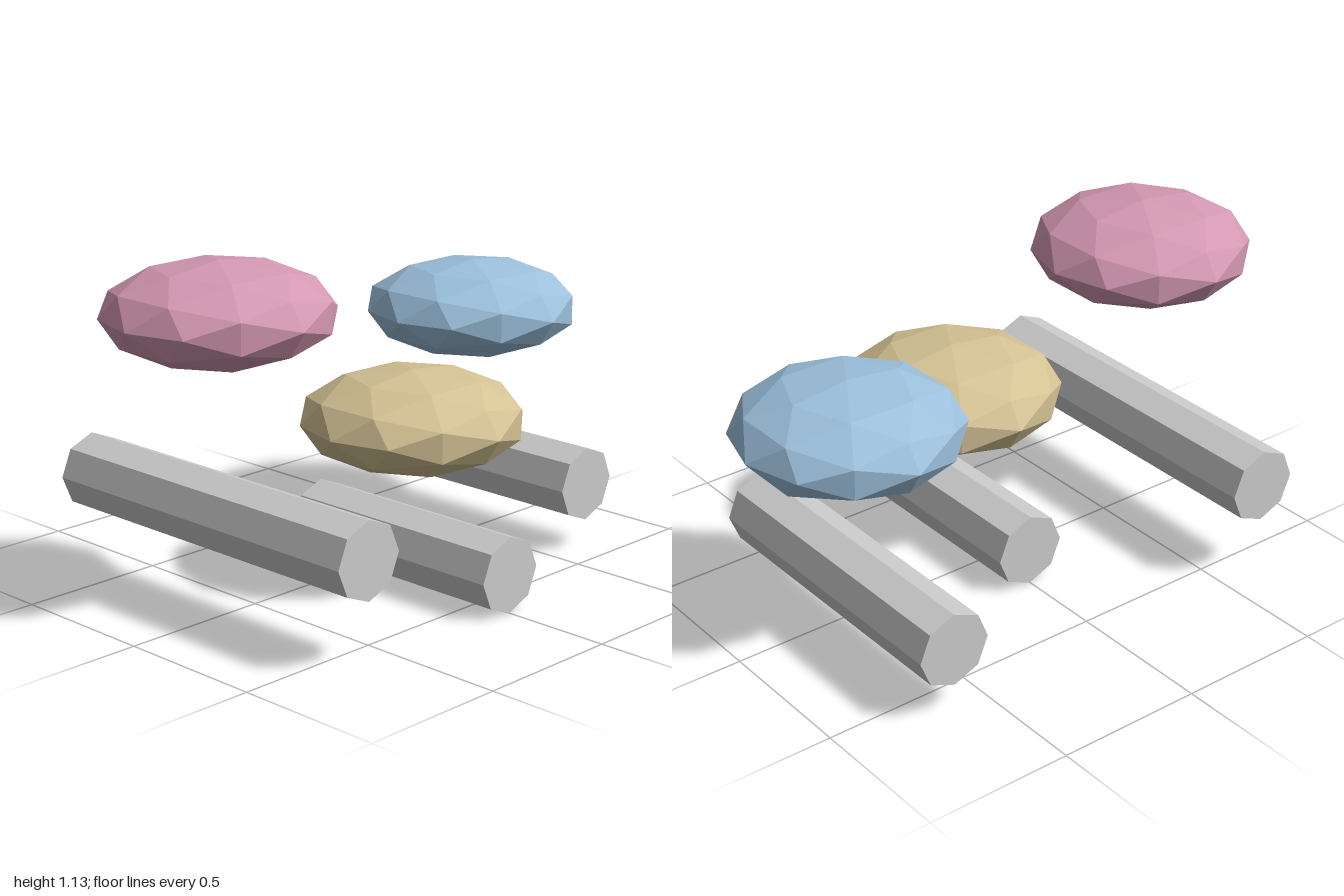
import * as THREE from 'three';

const S = 2 / 9.5; // one layout unit

// Each set is a faceted, flattened pad floating above an eight-sided bar
const SETS = [
  { side: 'right', x: -3, length: 6, z: 0, y: 1.6, color: 0xd498b2 },
  { side: 'middle', x: 0, length: 4, z: 1, y: 0.6, color: 0xd4c294 },
  { side: 'left', x: 3, length: 5, z: -0.5, y: 1.1, color: 0x9cc0dc },
];

export function createModel() {
  const model = new THREE.Group();
  model.name = 'barsAndPads';

  const barMaterial = new THREE.MeshStandardMaterial({ color: 0xcccccc, flatShading: true });

  for (const { side, x, length, z, y, color } of SETS) {
    // Octagonal bar lying along z
    const barGeometry = new THREE.CylinderGeometry(0.6 * S, 0.6 * S, length * S, 8);
    barGeometry.rotateX(Math.PI / 2);
    const bar = new THREE.Mesh(barGeometry, barMaterial);
    bar.name = `${side}Bar`;
    bar.position.set(x * S, y * S, z * S);

    // Flattened low-poly ball; its height grows with the bar's height
    const padGeometry = new THREE.IcosahedronGeometry(1.75 * S, 1);
    padGeometry.scale(1, 0.44, 1);
    padGeometry.computeVertexNormals();
    const pad = new THREE.Mesh(
      padGeometry,
      new THREE.MeshStandardMaterial({ color, flatShading: true }),
    );
    pad.name = `${side}Pad`;
    pad.position.set(x * S, (1.42 + 2 * y) * S, z * S);

    model.add(bar, pad);
  }
  return model;
}
